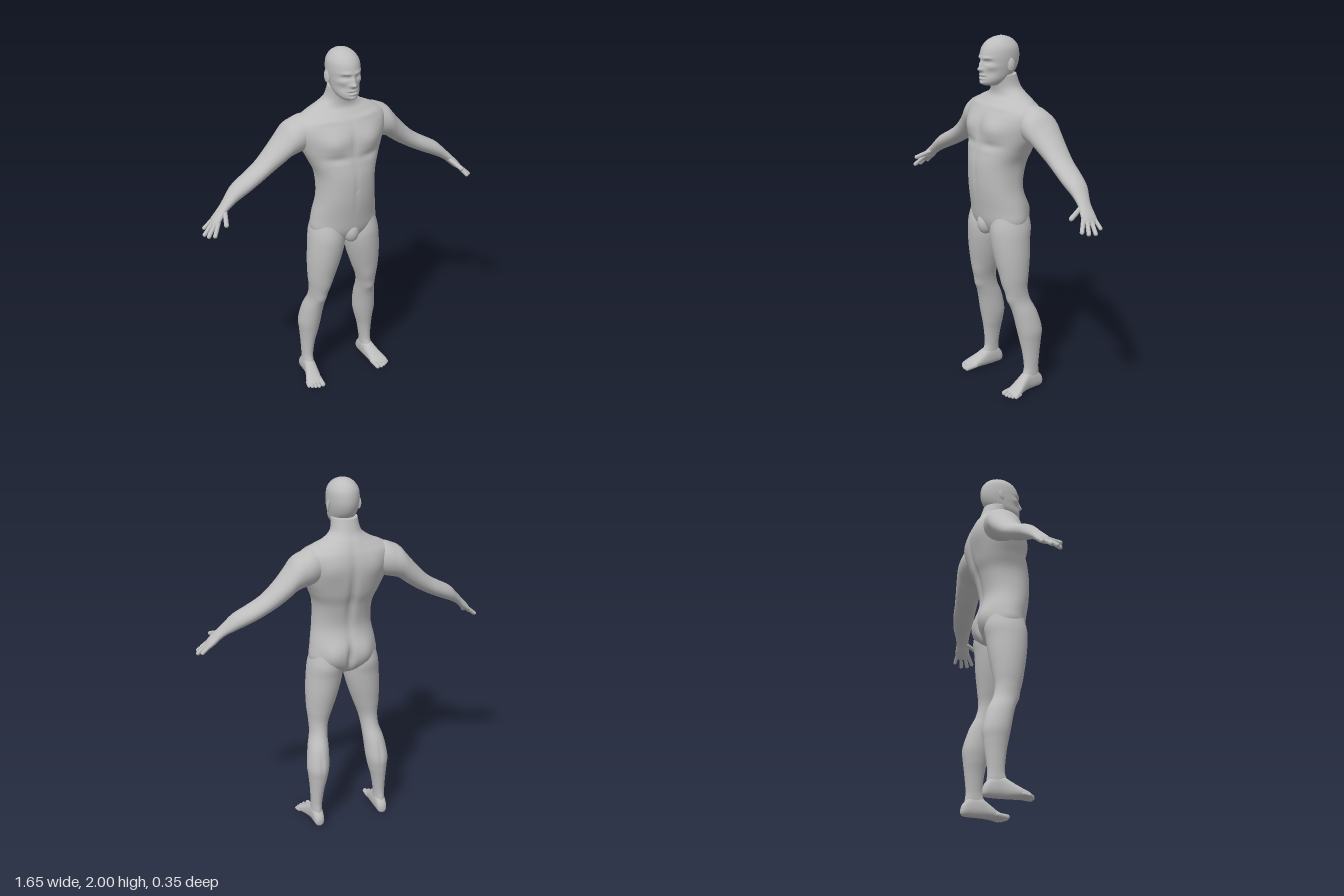
import * as THREE from 'three';

const AXES = { x: [1, 2, 0], y: [2, 0, 1], z: [0, 1, 2] }; // (u, v, t) components

// Smooth value between rows p1 and p2
function spline(p0, p1, p2, p3, s) {
  return p1 + 0.5 * s * (p2 - p0 + s * (2 * p0 - 5 * p1 + 4 * p2 - p3 + s * (3 * (p1 - p2) + p3 - p0)));
}

// Skin through rounded cross-sections [t, uMin, uMax, vMin, vMax, power] along an axis,
// then swell or dent it with bumps [x, y, z, sx, sy, sz, amount], mirrored in x.
function loft(axis, rows, sides = 48, steps = 6, bumps = []) {
  const [U, V, T] = AXES[axis], pos = [], index = [];
  const n = (rows.length - 1) * steps;
  const at = (i) => rows[Math.min(Math.max(i, 0), rows.length - 1)];
  const put = (u, v, t) => {
    const p = [0, 0, 0];
    p[U] = u; p[V] = v; p[T] = t;
    pos.push(...p);
  };
  const centres = [];
  for (let i = 0; i <= n; i++) {
    const k = Math.min(Math.floor(i / steps), rows.length - 2), s = i / steps - k;
    const val = (c, d) => spline(...[-1, 0, 1, 2].map((o) => at(k + o)[c] ?? d), s);
    const t = val(0), u0 = val(1), u1 = val(2), v0 = val(3), v1 = val(4), e = 2 / val(5, 2);
    for (let j = 0; j < sides; j++) {
      const a = (j / sides) * Math.PI * 2, c = Math.cos(a), d = Math.sin(a);
      put((u0 + u1) / 2 + (u1 - u0) / 2 * Math.sign(c) * Math.abs(c) ** e,
        (v0 + v1) / 2 + (v1 - v0) / 2 * Math.sign(d) * Math.abs(d) ** e, t);
    }
    centres.push([(u0 + u1) / 2, (v0 + v1) / 2, t]);
  }
  put(...centres[0]);
  put(...centres[n]);
  const first = (n + 1) * sides, last = first + 1;
  for (let j = 0; j < sides; j++) {
    const j1 = (j + 1) % sides;
    for (let i = 0; i < n; i++) {
      const a = i * sides + j, b = i * sides + j1;
      index.push(a, b, b + sides, a, b + sides, a + sides);
    }
    index.push(first, j1, j, last, n * sides + j, n * sides + j1);
  }
  const g = new THREE.BufferGeometry();
  g.setAttribute('position', new THREE.Float32BufferAttribute(pos, 3));
  g.setIndex(index);
  g.computeVertexNormals();
  if (bumps.length) {
    const P = g.attributes.position, N = g.attributes.normal;
    for (let i = 0; i < P.count; i++) {
      const x = P.getX(i), y = P.getY(i), z = P.getZ(i);
      let d = 0;
      for (const [bx, by, bz, sx, sy, sz, amount] of bumps) {
        d += amount * Math.exp(-(((Math.abs(x) - bx) / sx) ** 2) - ((y - by) / sy) ** 2 - ((z - bz) / sz) ** 2);
      }
      P.setXYZ(i, x + N.getX(i) * d, y + N.getY(i) * d, z + N.getZ(i) * d);
    }
    g.computeVertexNormals();
  }
  return g;
}

// Round-ended digit between two points
function digit(a, b, r) {
  const A = new THREE.Vector3(...a), B = new THREE.Vector3(...b), dir = B.clone().sub(A);
  const g = new THREE.CapsuleGeometry(r, Math.max(dir.length() - r, 0.001), 6, 14);
  g.applyQuaternion(new THREE.Quaternion().setFromUnitVectors(new THREE.Vector3(0, 1, 0), dir.clone().normalize()));
  const mid = A.add(B).addScaledVector(dir.normalize(), -r).multiplyScalar(0.5);
  return g.translate(mid.x, mid.y, mid.z);
}

function mirrored(g) {
  const m = g.clone().scale(-1, 1, 1), ix = m.index;
  for (let i = 0; i < ix.count; i += 3) {
    const b = ix.getX(i + 1);
    ix.setX(i + 1, ix.getX(i + 2));
    ix.setX(i + 2, b);
  }
  return m;
}

export function createModel() {
  const model = new THREE.Group();
  const skin = new THREE.MeshStandardMaterial({ color: 0xbdbdbd });
  skin.name = 'clay grey';
  const add = (name, g) => {
    const mesh = new THREE.Mesh(g, skin);
    mesh.name = name;
    model.add(mesh);
  };
  const pair = (name, g) => {
    add('left' + name, g);
    add('right' + name, mirrored(g));
  };

  // Torso and neck: height, back, front, half width, roundness
  const upright = ([y, b, f, w, p = 2]) => [y, b, f, -w, w, p];
  add('torso', loft('y', [
    [0.92, -0.05, 0.09, 0.07], [0.95, -0.085, 0.12, 0.14], [1.0, -0.108, 0.145, 0.192],
    [1.08, -0.112, 0.16, 0.187], [1.2, -0.088, 0.177, 0.165, 2.2], [1.32, -0.11, 0.18, 0.165, 2.3],
    [1.4, -0.14, 0.168, 0.195, 2.2], [1.48, -0.158, 0.153, 0.235], [1.56, -0.165, 0.14, 0.26],
    [1.62, -0.157, 0.112, 0.255], [1.66, -0.143, 0.078, 0.2, 1.8], [1.69, -0.128, 0.055, 0.135, 1.8],
    [1.73, -0.103, 0.055, 0.083], [1.8, -0.078, 0.075, 0.07],
  ].map(upright), 96, 7, [
    [0.1, 1.52, 0.14, 0.075, 0.055, 0.08, 0.02],    // chest
    [0, 1.52, 0.15, 0.012, 0.09, 0.06, -0.005],     // breastbone
    [0.09, 1.44, 0.15, 0.07, 0.02, 0.07, -0.009],   // below chest
    [0, 1.27, 0.18, 0.01, 0.15, 0.05, -0.004],      // belly line
    [0, 1.25, 0.18, 0.008, 0.008, 0.03, -0.004],    // navel
    [0.12, 1.635, 0.08, 0.09, 0.012, 0.05, 0.005],  // collarbones
    [0, 1.38, -0.13, 0.022, 0.24, 0.08, -0.016],    // spine
    [0.12, 1.55, -0.15, 0.07, 0.08, 0.07, 0.012],   // shoulder blades
    [0.085, 1.04, -0.1, 0.06, 0.07, 0.06, 0.02],    // buttocks
    [0, 1.02, -0.11, 0.014, 0.07, 0.06, -0.025],
  ]));

  // Plain rounded mound of the groin
  add('groin', new THREE.SphereGeometry(1, 28, 20).scale(0.045, 0.065, 0.05).translate(0, 0.985, 0.11));

  // Head, with the face shaped by bumps
  add('head', loft('y', [
    [1.745, 0.03, 0.11, 0.03], [1.76, 0, 0.133, 0.05], [1.785, -0.04, 0.137, 0.066],
    [1.82, -0.075, 0.136, 0.075], [1.86, -0.093, 0.134, 0.082], [1.9, -0.097, 0.132, 0.085],
    [1.94, -0.09, 0.12, 0.081], [1.97, -0.07, 0.096, 0.064], [1.99, -0.04, 0.06, 0.04],
    [2.0, -0.005, 0.022, 0.012],
  ].map(upright), 128, 9, [
    [0.034, 1.874, 0.115, 0.02, 0.011, 0.04, -0.012],  // eye sockets
    [0.034, 1.874, 0.115, 0.011, 0.006, 0.04, 0.005],  // eyes
    [0.03, 1.893, 0.125, 0.026, 0.009, 0.04, 0.006],   // brow
    [0, 1.85, 0.14, 0.011, 0.024, 0.04, 0.014],        // nose bridge
    [0, 1.832, 0.14, 0.016, 0.01, 0.04, 0.016],        // nose tip
    [0.055, 1.848, 0.1, 0.02, 0.014, 0.04, 0.004],     // cheekbones
    [0.045, 1.815, 0.11, 0.018, 0.02, 0.04, -0.005],   // cheeks
    [0, 1.802, 0.14, 0.024, 0.006, 0.04, 0.006],       // lips
    [0, 1.785, 0.14, 0.02, 0.006, 0.04, 0.005],
    [0, 1.794, 0.14, 0.028, 0.0035, 0.04, -0.007],
    [0, 1.763, 0.13, 0.02, 0.01, 0.04, 0.006],         // chin
  ]));

  // Ears: thin shell with a raised rim
  const ear = (g) => g.rotateY(Math.PI / 2 - 0.3).rotateX(-0.15).translate(0.086, 1.857, 0.005);
  pair('Ear', ear(new THREE.SphereGeometry(1, 20, 14).scale(0.016, 0.03, 0.007)));
  pair('EarRim', ear(new THREE.TorusGeometry(0.016, 0.004, 8, 24).scale(0.95, 1.7, 1)));

  // Arm and palm: distance out, low, high, back, front
  pair('Arm', loft('x', [
    [0.12, 1.5, 1.64, -0.11, 0.03], [0.2, 1.465, 1.655, -0.14, 0.05], [0.26, 1.45, 1.637, -0.148, 0.055],
    [0.3, 1.435, 1.615, -0.148, 0.05], [0.34, 1.405, 1.568, -0.142, 0.036], [0.4, 1.365, 1.5, -0.13, 0.022],
    [0.47, 1.325, 1.432, -0.116, 0.02], [0.54, 1.29, 1.387, -0.104, 0.026], [0.62, 1.253, 1.342, -0.08, 0.03],
    [0.67, 1.225, 1.293, -0.052, 0.033], [0.7, 1.2, 1.262, -0.038, 0.04], [0.73, 1.173, 1.23, -0.034, 0.053],
    [0.757, 1.156, 1.2, -0.029, 0.052], [0.772, 1.157, 1.175, -0.015, 0.035],
  ], 40, 6));
  [
    ['Thumb', [0.695, 1.228, 0.03], [0.725, 1.193, 0.118], 0.0125],
    ['IndexFinger', [0.735, 1.193, 0.04], [0.783, 1.13, 0.09], 0.0115],
    ['MiddleFinger', [0.743, 1.19, 0.025], [0.81, 1.124, 0.066], 0.0115],
    ['RingFinger', [0.745, 1.188, 0.004], [0.82, 1.121, 0.028], 0.011],
    ['LittleFinger', [0.74, 1.192, -0.017], [0.805, 1.137, -0.018], 0.01],
  ].forEach(([name, a, b, r]) => pair(name, digit(a, b, r)));

  // Leg: height, back, front, inside, outside
  pair('Leg', loft('y', [
    [0.04, -0.12, 0.005, 0.168, 0.222], [0.09, -0.114, -0.005, 0.165, 0.226], [0.14, -0.11, -0.018, 0.162, 0.226],
    [0.23, -0.12, -0.01, 0.148, 0.23], [0.3, -0.13, 0.003, 0.13, 0.236], [0.37, -0.135, 0.018, 0.117, 0.242],
    [0.47, -0.108, 0.04, 0.111, 0.228], [0.55, -0.07, 0.065, 0.107, 0.207], [0.62, -0.056, 0.086, 0.094, 0.206],
    [0.7, -0.065, 0.105, 0.065, 0.214], [0.8, -0.08, 0.125, 0.032, 0.216], [0.9, -0.09, 0.138, 0.008, 0.21],
    [0.98, -0.1, 0.138, 0.008, 0.2], [1.08, -0.08, 0.115, 0.03, 0.17],
  ], 56, 7, [
    [0.155, 0.56, 0.065, 0.03, 0.03, 0.03, 0.007],   // kneecap
    [0.13, 0.66, 0.06, 0.03, 0.05, 0.05, 0.006],     // inner thigh muscle
    [0.178, 0.4, -0.13, 0.01, 0.08, 0.04, -0.005],   // calf split
  ]));

  // Foot: distance forward, inside, outside, sole, top
  pair('Foot', loft('z', [
    [-0.136, 0.185, 0.207, 0.016, 0.045], [-0.122, 0.168, 0.222, 0.003, 0.075], [-0.08, 0.163, 0.228, 0, 0.115],
    [-0.03, 0.162, 0.232, 0, 0.112], [0.02, 0.165, 0.247, 0, 0.08], [0.06, 0.169, 0.264, 0, 0.052],
    [0.09, 0.172, 0.268, 0.002, 0.034], [0.104, 0.182, 0.255, 0.008, 0.024],
  ].map((r) => [...r, 2.3]), 40, 6));
  [[0.184, 0.134, 0.014], [0.208, 0.132, 0.011], [0.228, 0.125, 0.0105], [0.246, 0.115, 0.01], [0.262, 0.102, 0.0095]]
    .forEach(([x, tip, r], i) => pair('Toe' + (i + 1), digit([x - 0.004, r + 0.008, 0.06], [x + 0.003, r, tip], r)));

  return model;
}
